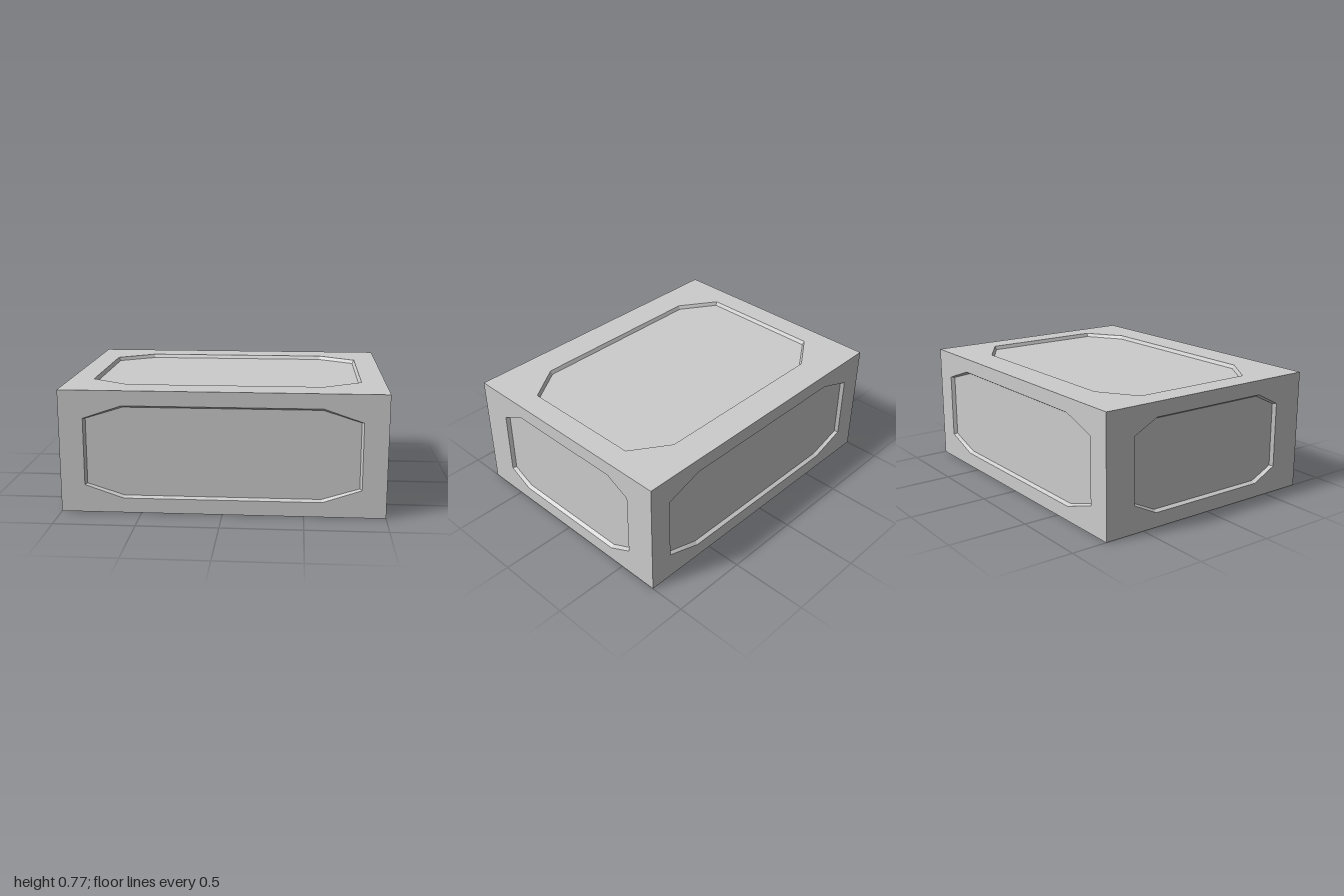
import * as THREE from 'three';

// Half sizes of the block, and the half extent / straight-edge half length of the panels on each axis
const HALF = { x: 1, y: 0.385, z: 0.768 };
const REACH = { x: 0.85, y: 0.292, z: 0.567 };
const FLAT = { x: 0.61, y: 0.21, z: 0.407 };
const INSET = 0.013, DEPTH = 0.023;

// Counter-clockwise octagon with cut corners
function octagon(ru, rv, fu, fv) {
  return [[fu, -rv], [ru, -fv], [ru, fv], [fu, rv], [-fu, rv], [-ru, fv], [-ru, -fv], [-fu, -rv]]
    .map(([u, v]) => new THREE.Vector2(u, v));
}

// Sloping wall between the rim and the recessed floor
function wallGeometry(rim, floor) {
  const pos = [];
  rim.forEach((a, i) => {
    const j = (i + 1) % rim.length, b = rim[j], c = floor[j], d = floor[i];
    pos.push(a.x, a.y, 0, b.x, b.y, 0, c.x, c.y, -DEPTH);
    pos.push(a.x, a.y, 0, c.x, c.y, -DEPTH, d.x, d.y, -DEPTH);
  });
  const geo = new THREE.BufferGeometry();
  geo.setAttribute('position', new THREE.Float32BufferAttribute(pos, 3));
  geo.computeVertexNormals();
  return geo;
}

// One side of the block, facing local +z: u and v name the axes it spans
function makeSide(name, u, v, material) {
  const side = new THREE.Group();
  side.name = name;
  const rim = octagon(REACH[u], REACH[v], FLAT[u], FLAT[v]);
  const floor = octagon(REACH[u] - INSET, REACH[v] - INSET, FLAT[u] - 0.004, FLAT[v] - 0.004);

  const w = HALF[u], h = HALF[v];
  const border = new THREE.Shape([[-w, -h], [w, -h], [w, h], [-w, h]].map(p => new THREE.Vector2(...p)));
  border.holes.push(new THREE.Path(rim.slice().reverse()));

  const add = (part, geo) => {
    const mesh = new THREE.Mesh(geo, material);
    mesh.name = part;
    side.add(mesh);
    return mesh;
  };
  add('border', new THREE.ShapeGeometry(border));
  add('recessWall', wallGeometry(rim, floor));
  add('recessedPanel', new THREE.ShapeGeometry(new THREE.Shape(floor))).position.z = -DEPTH;
  return side;
}

export function createModel() {
  const model = new THREE.Group();
  model.name = 'panelledBlock';
  const material = new THREE.MeshStandardMaterial({ color: 0xcccccc, flatShading: true });
  const q = Math.PI / 2;

  // name, spanned axes, facing axis and sign, rotation about x and y
  const sides = [
    ['frontSide', 'x', 'y', 'z', 1, 0, 0],
    ['backSide', 'x', 'y', 'z', -1, 0, Math.PI],
    ['leftSide', 'z', 'y', 'x', 1, 0, q],
    ['rightSide', 'z', 'y', 'x', -1, 0, -q],
    ['topSide', 'x', 'z', 'y', 1, -q, 0],
    ['bottomSide', 'x', 'z', 'y', -1, q, 0],
  ];
  for (const [name, u, v, axis, sign, rx, ry] of sides) {
    const side = makeSide(name, u, v, material);
    side.rotation.set(rx, ry, 0);
    side.position[axis] = sign * HALF[axis];
    side.position.y += HALF.y;
    model.add(side);
  }
  return model;
}
